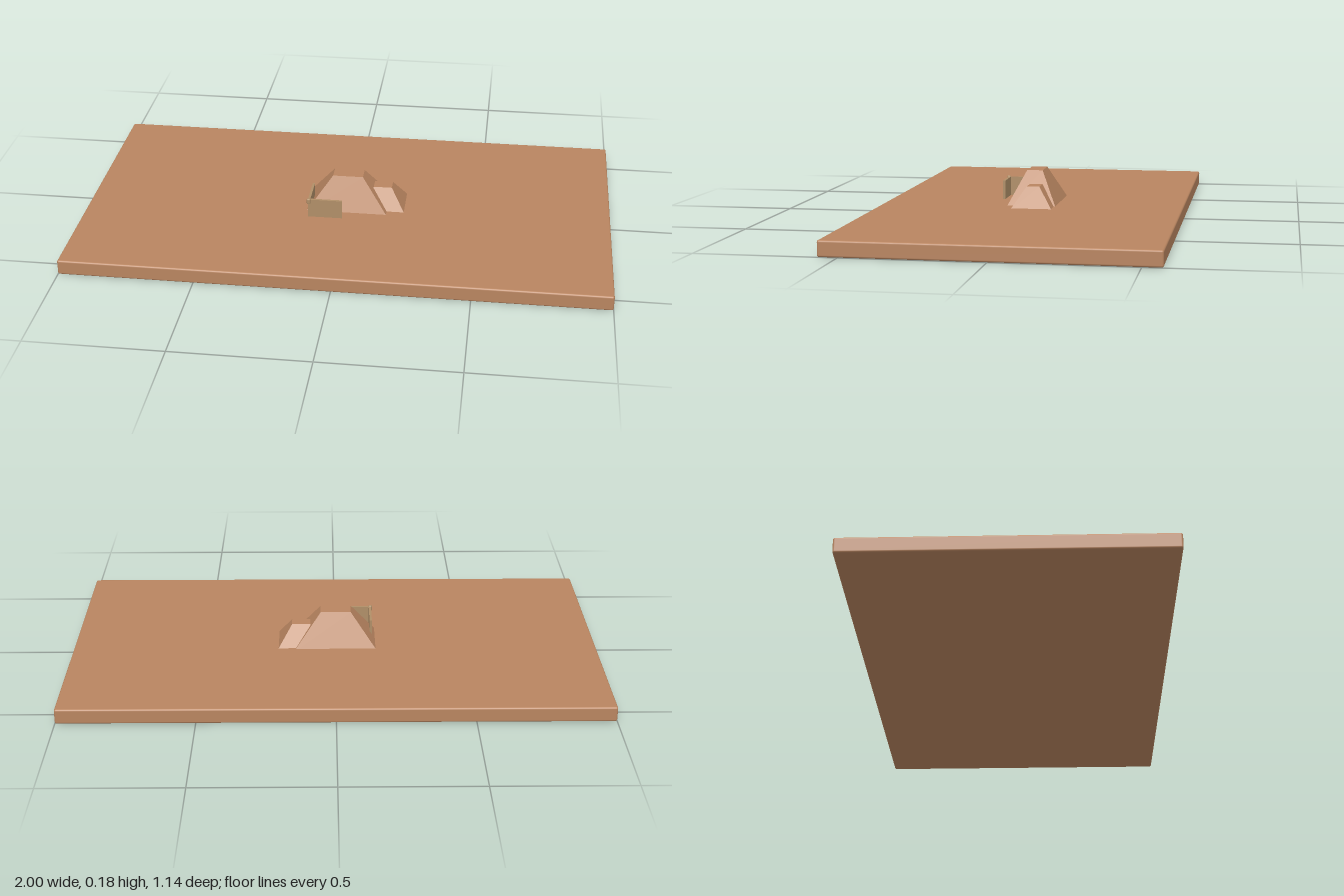
import * as THREE from 'three';
import { RoundedBoxGeometry } from 'three/addons/geometries/RoundedBoxGeometry.js';

const clay = new THREE.MeshStandardMaterial({ color: 0xb98560 });
const tan = new THREE.MeshStandardMaterial({ color: 0xb08f68 });
const GROUND = 0.057;

function addMesh(parent, name, geometry, material) {
  const mesh = new THREE.Mesh(geometry, material);
  mesh.name = name;
  parent.add(mesh);
  return mesh;
}

// Box between two corners
function block(x0, x1, y0, y1, z0, z1) {
  return new THREE.BoxGeometry(x1 - x0, y1 - y0, z1 - z0)
    .translate((x0 + x1) / 2, (y0 + y1) / 2, (z0 + z1) / 2);
}

// Flat-topped pyramid; base and top are [x0, x1, z0, z1]
function frustum(base, top, height) {
  const geometry = new THREE.BoxGeometry(1, 1, 1);
  const p = geometry.attributes.position;
  for (let i = 0; i < p.count; i++) {
    const upper = p.getY(i) > 0;
    const r = upper ? top : base;
    p.setXYZ(i, p.getX(i) < 0 ? r[0] : r[1], upper ? height : GROUND - 0.01, p.getZ(i) < 0 ? r[2] : r[3]);
  }
  geometry.computeVertexNormals();
  return geometry;
}

export function createModel() {
  const model = new THREE.Group();
  model.name = 'pyramidsOnSlab';

  // Ground slab with softened edges
  const slab = addMesh(model, 'groundSlab', new RoundedBoxGeometry(2, GROUND, 1.14, 3, 0.007), clay);
  slab.position.y = GROUND / 2;

  // Large and small truncated pyramids, bases sunk slightly into the slab
  addMesh(model, 'largePyramid',
    frustum([-0.162, 0.158, -0.098, 0.095], [-0.06, 0.055, -0.03, 0.03], 0.182), clay);
  addMesh(model, 'smallPyramid',
    frustum([0.035, 0.223, -0.094, 0.07], [0.095, 0.165, -0.035, 0.013], 0.134), clay);

  // L-shaped wall around the front right corner
  const wall = new THREE.Group();
  wall.name = 'cornerWall';
  model.add(wall);
  addMesh(wall, 'frontWall', block(-0.143, -0.013, GROUND - 0.01, 0.13, 0.128, 0.137), tan);
  addMesh(wall, 'sideWall', block(-0.143, -0.134, GROUND - 0.01, 0.13, 0.005, 0.128), tan);
  const cap = addMesh(wall, 'cornerCap', new RoundedBoxGeometry(0.014, 0.022, 0.014, 2, 0.004), tan);
  cap.position.set(-0.14, 0.123, 0.136);

  return model;
}
